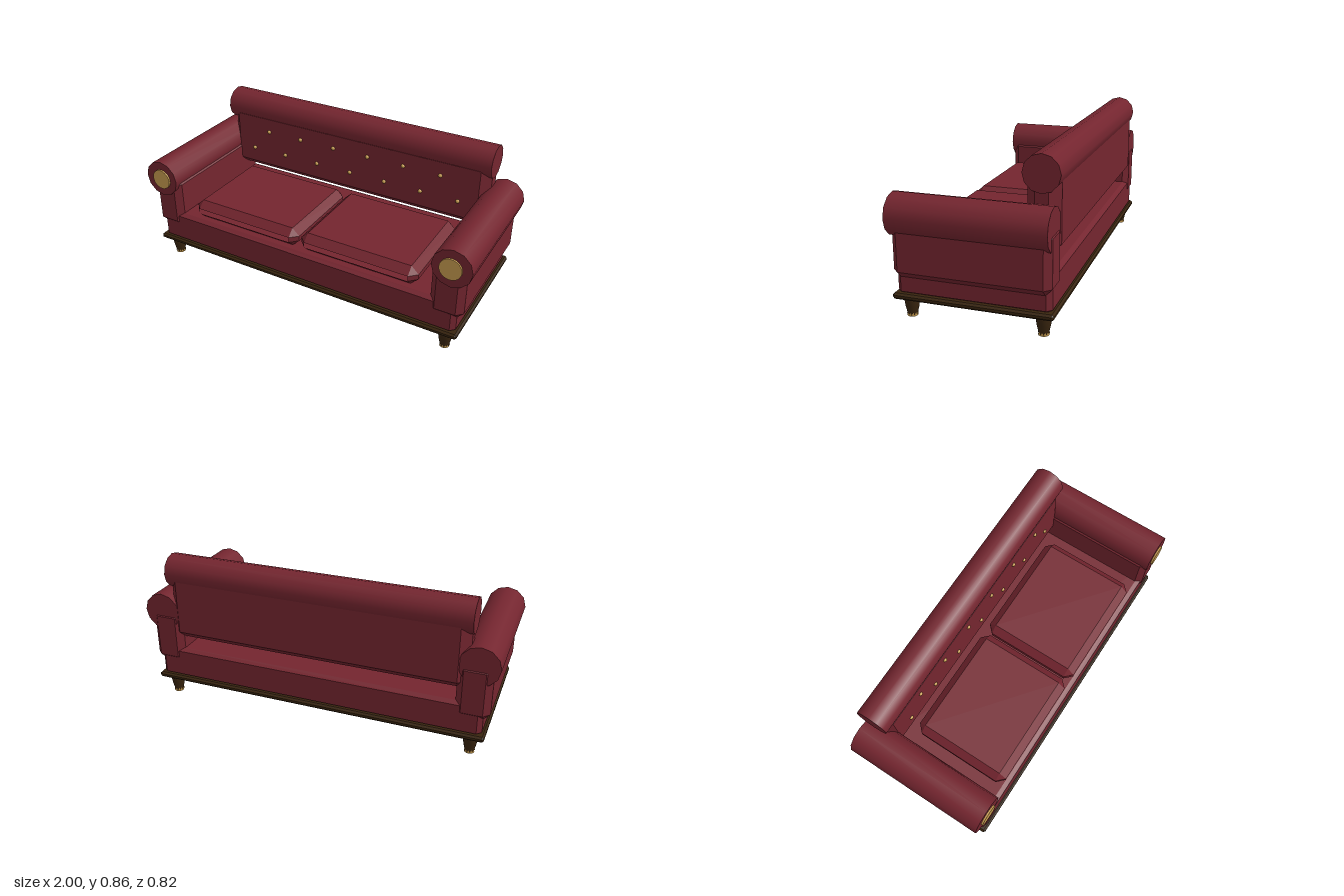
import * as THREE from 'three';
import { ConvexGeometry } from 'three/addons/geometries/ConvexGeometry.js';

const material = (name, color) => {
  const m = new THREE.MeshStandardMaterial({ color });
  m.name = name;
  return m;
};

// Box with one flat chamfer on every edge; openZ leaves the front and back panels out
function chamferBox([x0, x1], [y0, y1], [z0, z1], [bx, by, bz], openZ = false) {
  const c = [(x0 + x1) / 2, (y0 + y1) / 2, (z0 + z1) / 2];
  const h = [(x1 - x0) / 2, (y1 - y0) / 2, (z1 - z0) / 2];
  const b = [bx, by, bz];
  const points = [];
  for (const sx of [-1, 1]) for (const sy of [-1, 1]) for (const sz of [-1, 1]) {
    const s = [sx, sy, sz];
    for (let axis = 0; axis < 3; axis++) {
      const p = s.map((v, i) => c[i] + v * (i === axis ? h[i] : h[i] - b[i]));
      points.push(new THREE.Vector3(...p));
    }
  }
  const g = new ConvexGeometry(points);
  if (openZ) {
    const normal = g.attributes.normal;
    const index = [];
    for (let i = 0; i < normal.count; i += 3) {
      if (Math.abs(normal.getZ(i)) < 0.99) index.push(i, i + 1, i + 2);
    }
    g.setIndex(index);
  }
  return g;
}

export function createModel() {
  const red = material('red upholstery', 0x74252f);
  const wood = material('dark wood', 0x39250f);
  const gold = material('brass', 0xc79c50);
  const sofa = new THREE.Group();
  sofa.name = 'sofa';

  const add = (name, geometry, mat, x = 0, y = 0, z = 0, parent = sofa) => {
    const mesh = new THREE.Mesh(geometry, mat);
    mesh.name = name;
    mesh.position.set(x, y, z);
    parent.add(mesh);
    return mesh;
  };

  // Plinth and seat base
  add('plinth', chamferBox([-0.95, 0.95], [0.105, 0.137], [-0.41, 0.402], [0.01, 0.01, 0.01]), wood);
  add('seatBase', chamferBox([-0.932, 0.932], [0.13, 0.307], [-0.395, 0.386], [0.025, 0.015, 0.025]), red);

  // Seat cushions
  for (const x of [-0.357, 0.352]) {
    add('seatCushion', chamferBox([x - 0.347, x + 0.347], [0.305, 0.415], [-0.21, 0.365],
      [0.042, 0.04, 0.042], true), red);
  }

  // Backrest with its top roll
  add('backrest', chamferBox([-0.84, 0.84], [0.375, 0.77], [-0.4, -0.234], [0.05, 0.045, 0.05]), red);
  const backRoll = new THREE.CylinderGeometry(0.093, 0.093, 1.694, 12);
  backRoll.rotateY(Math.PI / 2).rotateZ(Math.PI / 2);
  add('backRoll', backRoll, red, -0.002, 0.764, -0.318);

  // Tufting buttons in two staggered rows
  const button = new THREE.SphereGeometry(0.012, 12, 8);
  for (const [count, y] of [[6, 0.643], [7, 0.513]]) {
    for (let i = 0; i < count; i++) {
      add('button', button, gold, -0.002 + (i - (count - 1) / 2) * 0.226, y, -0.234);
    }
  }

  // Armrests: panel, roll and brass disc
  const armRoll = new THREE.CylinderGeometry(0.107, 0.107, 0.796, 12);
  armRoll.rotateX(Math.PI / 2);
  const disc = new THREE.CylinderGeometry(0.059, 0.059, 0.02, 24);
  disc.rotateX(Math.PI / 2);
  for (const s of [-1, 1]) {
    const arm = new THREE.Group();
    arm.name = s > 0 ? 'leftArm' : 'rightArm';
    sofa.add(arm);
    const xs = s > 0 ? [0.784, 0.965] : [-0.965, -0.784];
    add('armPanel', chamferBox(xs, [0.222, 0.53], [-0.4, 0.393], [0.034, 0.034, 0.034]), red, 0, 0, 0, arm);
    add('armRoll', armRoll, red, s * 0.893, 0.528, 0.003, arm);
    add('armDisc', disc, gold, s * 0.889, 0.528, 0.401, arm);
  }

  // Turned legs with toothed brass feet
  const profile = [[0, 0.002], [0.025, 0.002], [0.027, 0.02], [0.034, 0.05], [0.038, 0.08], [0.039, 0.11]];
  const leg = new THREE.LatheGeometry(profile.map(([r, y]) => new THREE.Vector2(r, y)), 20);
  const teeth = new THREE.CylinderGeometry(0.0285, 0.0265, 0.02, 24, 1, true);
  teeth.translate(0, 0.01, 0);
  const p = teeth.attributes.position;
  for (let i = 1; i <= 24; i += 2) p.setY(i, 0.008);
  const sole = new THREE.CircleGeometry(0.0265, 24);
  sole.rotateX(Math.PI / 2);
  for (const x of [-0.873, 0.873]) for (const z of [-0.342, 0.335]) {
    const group = new THREE.Group();
    group.name = z > 0 ? 'frontLeg' : 'backLeg';
    group.position.set(x, 0, z);
    sofa.add(group);
    add('legPost', leg, wood, 0, 0, 0, group);
    add('footTeeth', teeth, gold, 0, 0, 0, group);
    add('footSole', sole, gold, 0, 0, 0, group);
  }
  return sofa;
}
